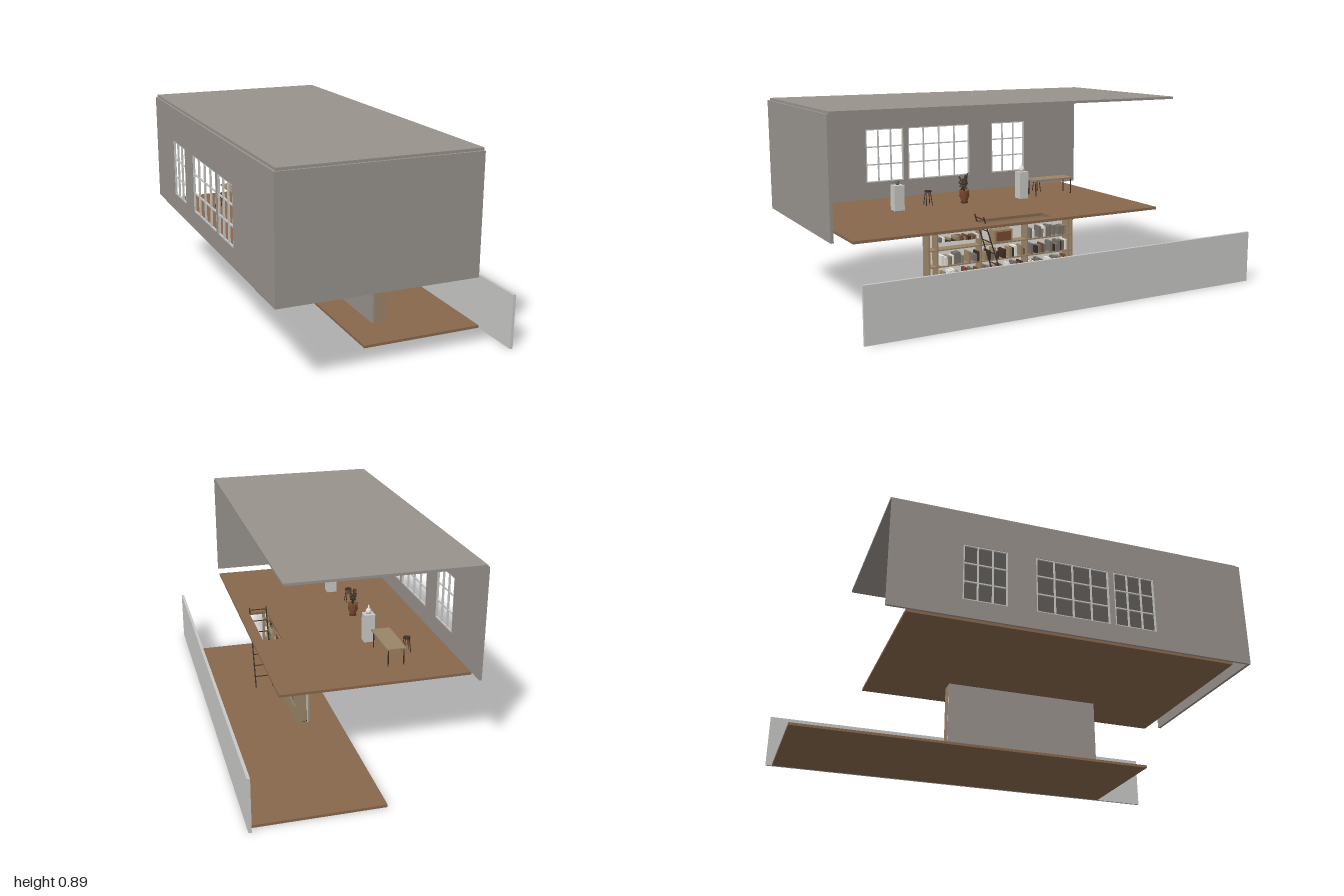
import * as THREE from 'three';

const mat = (name, color, side = THREE.FrontSide) => {
  const m = new THREE.MeshStandardMaterial({ color, side });
  m.name = name;
  return m;
};

export function createModel() {
  const M = {
    wall: mat('warm grey plaster', 0x98928c),
    floor: mat('floor wood', 0x88684d),
    pale: mat('pale concrete', 0xc8c8c6),
    oak: mat('oak', 0x9a8468),
    dark: mat('dark timber', 0x3c2e25),
    cream: mat('cream', 0xe9e6df),
    clay: mat('clay', 0x7a4a30),
    leaf: mat('leaf', 0x4b4030, THREE.DoubleSide),
    grey: mat('book grey', 0x77716a),
  };
  const root = new THREE.Group();
  const group = (name, parent = root) => {
    const g = new THREE.Group();
    g.name = name;
    parent.add(g);
    return g;
  };
  const add = (name, geo, m, parent = root) => {
    const mesh = new THREE.Mesh(geo, m);
    mesh.name = name;
    parent.add(mesh);
    return mesh;
  };
  // box given by its low and high limits on each axis
  const box = (name, m, x0, x1, y0, y1, z0, z1, parent) => add(name,
    new THREE.BoxGeometry(x1 - x0, y1 - y0, z1 - z0)
      .translate((x0 + x1) / 2, (y0 + y1) / 2, (z0 + z1) / 2), m, parent);
  // round bar between two points
  const bar = (name, m, a, b, r, parent) => {
    const p = new THREE.Vector3(...a), q = new THREE.Vector3(...b);
    const mesh = add(name, new THREE.CylinderGeometry(r, r, p.distanceTo(q), 8), m, parent);
    mesh.position.copy(p).add(q).multiplyScalar(0.5);
    mesh.quaternion.setFromUnitVectors(new THREE.Vector3(0, 1, 0), q.sub(p).normalize());
    return mesh;
  };
  // flat rectangle with rectangular holes, each [u0, u1, v0, v1]
  const plate = (rect, holes, depth) => {
    const pts = ([a, b, c, d]) => [[a, c], [b, c], [b, d], [a, d]].map((p) => new THREE.Vector2(...p));
    const s = new THREE.Shape(pts(rect));
    holes.forEach((h) => s.holes.push(new THREE.Path(pts(h).reverse())));
    return new THREE.ExtrudeGeometry(s, { depth, bevelEnabled: false });
  };
  let seed = 7;
  const rnd = () => (seed = (seed * 16807) % 2147483647) / 2147483647;

  // shell: roof, front wall, side wall with windows
  box('roof', M.wall, -0.53, 0.318, 0.876, 0.887, -0.693, 0.99);
  box('frontWall', M.wall, -0.53, 0.318, 0.366, 0.876, 0.987, 1.0);
  const windows = [[0.33, 0.53, 3], [-0.04, 0.305, 4], [-0.37, -0.17, 3]];
  const sill = 0.45, head = 0.715;
  add('windowWall', plate([-0.69, 1.0, 0.366, 0.876], windows.map(([a, b]) => [a, b, sill, head]), 0.011)
    .rotateY(-Math.PI / 2).translate(-0.529, 0, 0), M.wall);

  // window frames and glazing bars
  for (const [a, b, cols] of windows) {
    const g = group('window');
    for (let i = 0; i <= cols; i++) {
      const z = a + ((b - a) * i) / cols, w = i % cols ? 0.003 : 0.006;
      box('mullion', M.pale, -0.539, -0.53, sill, head, z - w, z + w, g);
    }
    for (let j = 0; j <= 3; j++) {
      const y = sill + ((head - sill) * j) / 3, w = j % 3 ? 0.003 : 0.005;
      box('glazingBar', M.pale, -0.538, -0.531, y - w, y + w, a, b, g);
    }
  }

  // floors and garden wall
  add('upperFloor', plate([-0.53, 0.323, -0.605, 0.91], [[0.185, 0.273, -0.05, 0.3]], 0.012)
    .rotateX(Math.PI / 2).translate(0, 0.366, 0), M.floor);
  box('lowerFloor', M.floor, -0.035, 0.525, 0, 0.012, -0.97, 0.71);
  box('gardenWall', M.pale, 0.523, 0.536, 0, 0.242, -1, 0.95);

  // bookcase
  const shelf = group('bookcase');
  const z0 = -0.235, z1 = 0.51, base = 0.012, top = 0.354;
  box('backWall', M.wall, 0.1, 0.11, base, top, z0, z1, shelf);
  box('backPanel', M.cream, 0.11, 0.113, base, top, z0, z1, shelf);
  box('cornice', M.oak, 0.11, 0.166, 0.318, top, z0, z1, shelf);
  const dividers = [z0, -0.215, 0.01, 0.25, 0.465, z1 - 0.006];
  dividers.forEach((z) => box('upright', M.oak, 0.11, 0.166, base, 0.32, z, z + 0.006, shelf));
  const shelfY = [0.09, 0.165, 0.24];
  shelfY.forEach((y) => box('shelfBoard', M.oak, 0.11, 0.166, y, y + 0.006, z0, z1, shelf));
  box('plinth', M.dark, 0.11, 0.16, base, 0.022, z0, z1, shelf);
  box('sidePanel', M.oak, 0.11, 0.166, base, top, z1 - 0.002, z1 + 0.002, shelf);
  box('displayBox', M.oak, 0.113, 0.164, 0.246, 0.302, 0.09, 0.185, shelf);
  box('displayBoxFace', M.clay, 0.164, 0.166, 0.252, 0.294, 0.1, 0.175, shelf);

  // cabinet doors below, books above
  const bookMats = [M.grey, M.clay, M.dark, M.cream, M.oak, M.grey];
  for (let c = 1; c < 4; c++) {
    const a = dividers[c] + 0.008, b = dividers[c + 1] - 0.002, mid = (a + b) / 2;
    box('cabinetDoor', M.oak, 0.16, 0.167, 0.024, 0.088, a, mid - 0.002, shelf);
    box('cabinetDoor', M.oak, 0.16, 0.167, 0.024, 0.088, mid + 0.002, b, shelf);
    shelfY.forEach((y, row) => {
      if (row === 2 && c === 2) return;
      const sparse = row === 2 && c === 3;
      for (let z = a + 0.004; z < b - 0.016;) {
        const w = 0.007 + rnd() * 0.008, h = sparse ? 0.012 + rnd() * 0.01 : 0.03 + rnd() * 0.022;
        const lift = sparse ? 0.036 : 0.006;
        box('book', bookMats[Math.floor(rnd() * 6)], 0.115, 0.155 + rnd() * 0.012, y + lift, y + lift + h, z, z + w, shelf);
        z += w + (rnd() > 0.8 ? 0.02 : 0.002);
      }
      if (sparse) box('shelfLedge', M.dark, 0.113, 0.16, 0.278, 0.282, 0.3, 0.43, shelf);
    });
  }

  // leaning ladder
  const ladder = group('ladder');
  const ladderZ = (y) => 0.172 + (y - 0.012) * 0.325;
  for (const x of [0.188, 0.272]) {
    bar('ladderRail', M.dark, [x, 0.012, ladderZ(0.012)], [x, 0.395, ladderZ(0.395)], 0.003, ladder);
  }
  for (let i = 0; i < 7; i++) {
    const y = 0.065 + i * 0.053;
    bar('ladderRung', M.dark, [0.188, y, ladderZ(y)], [0.272, y, ladderZ(y)], 0.0025, ladder);
  }

  // table
  const F = 0.366;
  const table = group('table');
  box('tableTop', M.oak, -0.28, -0.192, 0.442, 0.45, -0.465, -0.235, table);
  for (const x of [-0.272, -0.2]) for (const z of [-0.457, -0.25]) {
    bar('tableLeg', M.dark, [x, F, z], [x, 0.443, z], 0.003, table);
  }

  // stools with splayed legs
  for (const [x, z] of [[-0.33, -0.33], [-0.25, 0.325]]) {
    const stool = group('stool');
    add('stoolSeat', new THREE.CylinderGeometry(0.017, 0.017, 0.006, 16).translate(x, 0.434, z), M.dark, stool);
    for (const sx of [-1, 1]) for (const sz of [-1, 1]) {
      bar('stoolLeg', M.dark, [x + sx * 0.016, F, z + sz * 0.016], [x + sx * 0.009, 0.432, z + sz * 0.009], 0.002, stool);
    }
  }

  // pedestals with ornaments
  const lathe = (name, pts, m, x, y, z, parent) => add(name,
    new THREE.LatheGeometry(pts.map((p) => new THREE.Vector2(...p)), 16).translate(x, y, z), m, parent);
  box('pedestal', M.pale, -0.23, -0.18, F, 0.485, 0.475, 0.525);
  box('pedestal', M.pale, -0.225, -0.175, F, 0.5, -0.19, -0.143);
  lathe('bowl', [[0, 0], [0.008, 0], [0.006, 0.006], [0.011, 0.014], [0.009, 0.022], [0, 0.022]], M.grey, -0.205, 0.485, 0.5);
  lathe('vase', [[0, 0], [0.01, 0], [0.014, 0.01], [0.012, 0.02], [0.004, 0.03], [0.003, 0.042], [0, 0.042]],
    M.cream, -0.2, 0.5, -0.166);

  // potted plant
  const plant = group('pottedPlant');
  plant.position.set(-0.22, F, 0.145);
  lathe('pot', [[0, 0], [0.018, 0], [0.016, 0.012], [0.025, 0.035], [0.022, 0.055], [0.026, 0.062], [0.021, 0.062], [0, 0.055]],
    M.clay, 0, 0, 0, plant);
  for (let i = 0; i < 8; i++) {
    const t = i * 2.4, r = 0.012 + rnd() * 0.02, h = 0.09 + rnd() * 0.07;
    const tip = [Math.cos(t) * r, h, Math.sin(t) * r];
    bar('stem', M.dark, [0, 0.055, 0], tip, 0.0015, plant);
    for (let k = 0; k < 3; k++) {
      const leaf = add('leaf', new THREE.SphereGeometry(0.01, 6, 4), M.leaf, plant);
      leaf.scale.set(1, 0.3, 0.6);
      leaf.position.set(tip[0] * (1 - k * 0.2), h - k * 0.014, tip[2] * (1 - k * 0.2));
      leaf.rotation.set(rnd() * 2, t + k * 2, rnd() * 2);
    }
  }
  return root;
}
